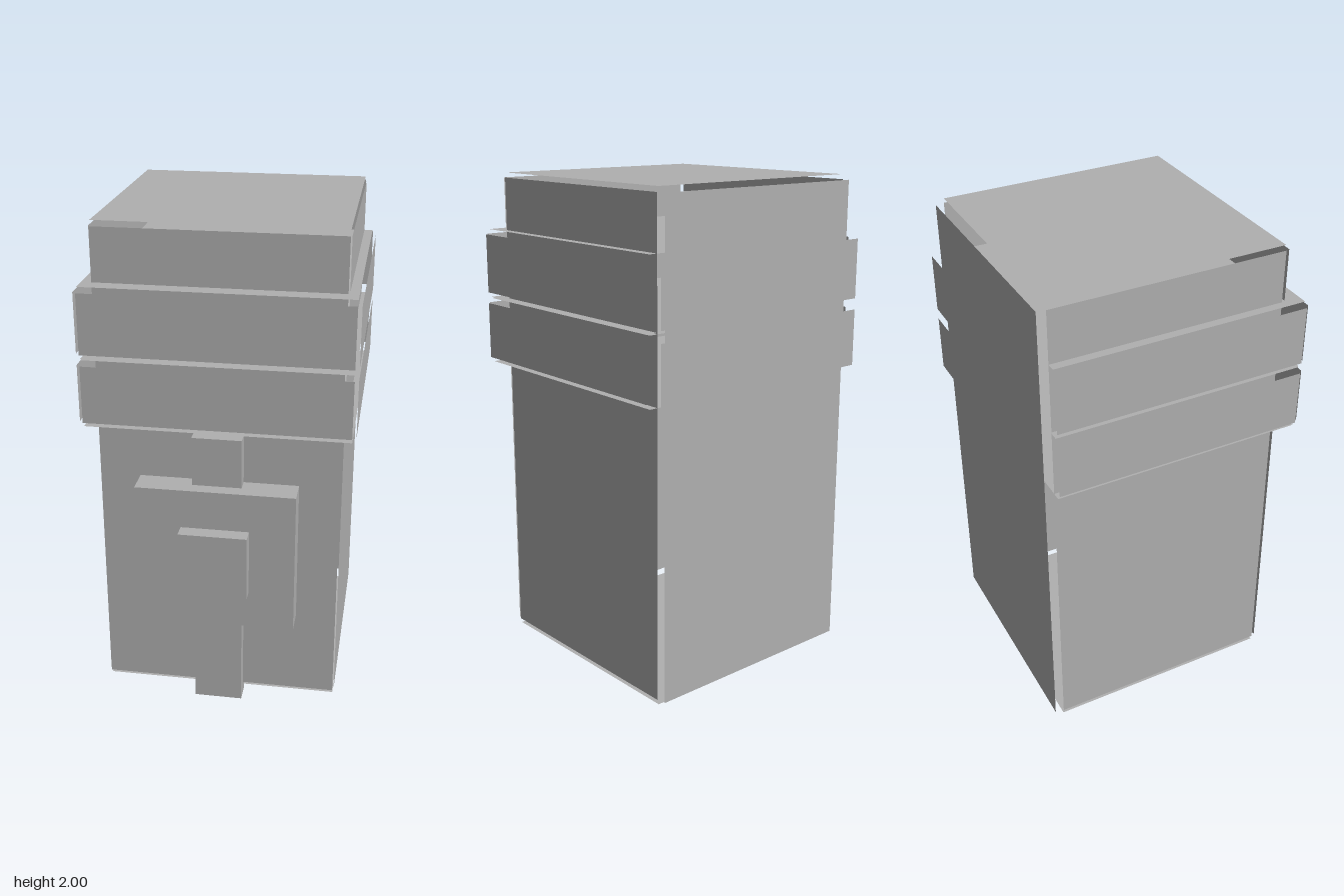
import * as THREE from 'three';

export function createModel() {
  const model = new THREE.Group();
  const grey = new THREE.MeshStandardMaterial({ color: 0xb0b0b0, side: THREE.DoubleSide });
  grey.name = 'grey';

  const plate = (group, name, w, h, pos, rot = [0, 0, 0]) => {
    const mesh = new THREE.Mesh(new THREE.PlaneGeometry(w, h), grey);
    mesh.name = name;
    mesh.position.set(...pos);
    mesh.rotation.set(...rot);
    group.add(mesh);
  };

  // A shell of six loose sheets, each set slightly outside its box.
  // b: box bounds, at: where each sheet lies
  const shell = (name, b, at) => {
    const group = new THREE.Group();
    group.name = name;
    const w = b.x * 2, h = b.y1 - b.y0, d = b.z1 - b.z0;
    const y = (b.y0 + b.y1) / 2, z = (b.z0 + b.z1) / 2, q = Math.PI / 2;
    plate(group, 'frontSheet', w, h, [0, y, at.front]);
    plate(group, 'backSheet', w, h, [0, y, at.back], [0, Math.PI, 0]);
    plate(group, 'leftSheet', d, h, [at.side, y, z], [0, q, 0]);
    plate(group, 'rightSheet', d, h, [-at.side, y, z], [0, -q, 0]);
    plate(group, 'topSheet', w, d, [0, b.y1 + at.lid, z], [-q, 0, 0]);
    plate(group, 'bottomSheet', w, d, [0, b.y0 - at.lid, z], [q, 0, 0]);
    model.add(group);
  };

  // Main body
  shell('body', { x: 0.475, y0: 0.045, y1: 1.98, z0: -0.535, z1: 0.41 },
    { front: 0.425, back: -0.57, side: 0.48, lid: 0.02 });

  // Two bands round the upper part
  for (const [name, y0, y1] of [['upperBand', 1.51, 1.75], ['lowerBand', 1.235, 1.465]]) {
    shell(name, { x: 0.515, y0, y1, z0: -0.535, z1: 0.49 },
      { front: 0.505, back: -0.595, side: 0.53, lid: 0.02 });
  }

  // Solid blocks stacked on the front: strap, buckle plate and stud
  const block = (name, w, y0, y1, z0, z1) => {
    const mesh = new THREE.Mesh(new THREE.BoxGeometry(w, y1 - y0, z1 - z0), grey);
    mesh.name = name;
    mesh.position.set(0, (y0 + y1) / 2, (z0 + z1) / 2);
    model.add(mesh);
  };
  block('strap', 0.195, 0, 1.19, 0.4, 0.48);
  block('bucklePlate', 0.63, 0.4, 0.99, 0.41, 0.535);
  block('stud', 0.27, 0.56, 0.83, 0.535, 0.595);

  return model;
}
